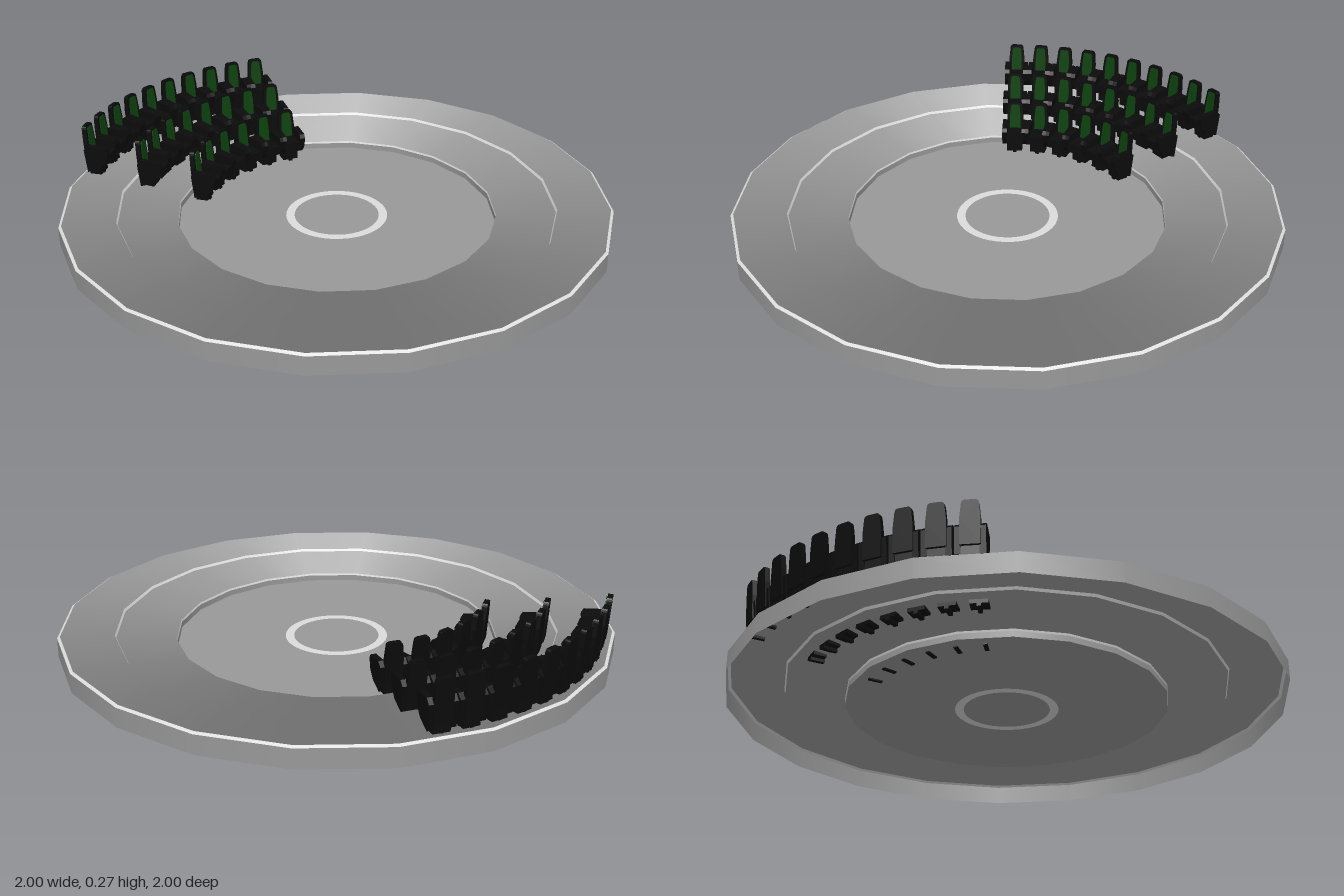
import * as THREE from 'three';

const SIDES = 20;

function makeMaterial(name, color, side = THREE.FrontSide) {
  const m = new THREE.MeshStandardMaterial({ color, side });
  m.name = name;
  return m;
}

const stone = makeMaterial('stone grey', 0x999999, THREE.DoubleSide);
const trim = makeMaterial('light trim', 0xdcdcdc, THREE.DoubleSide);
const black = makeMaterial('seat black', 0x0b0b0b);
const green = makeMaterial('seat green', 0x0d420f);

function add(parent, name, geometry, material, x = 0, y = 0, z = 0) {
  const mesh = new THREE.Mesh(geometry, material);
  mesh.name = name;
  mesh.position.set(x, y, z);
  parent.add(mesh);
  return mesh;
}

// One band of the dish between two [radius, height] points
function band(parent, name, from, to, material, soft = false) {
  const points = [from, to].map(([r, y]) => new THREE.Vector2(r, y));
  const geometry = new THREE.LatheGeometry(points, SIDES);
  if (soft) {
    // Terraces are shaded as if rounded into their risers
    const p = geometry.attributes.position;
    const n = geometry.attributes.normal;
    for (let i = 0; i < p.count; i++) {
      const r = Math.hypot(p.getX(i), p.getZ(i)) * Math.SQRT2;
      n.setXYZ(i, -p.getX(i) / r, Math.SQRT1_2, -p.getZ(i) / r);
    }
  }
  add(parent, name, geometry, material);
}

function createDish() {
  const dish = new THREE.Group();
  dish.name = 'dish';
  band(dish, 'outerWall', [1, 0], [1, 0.07], stone);
  band(dish, 'rimBevel', [1, 0.07], [0.99, 0.076], trim);
  band(dish, 'upperTerrace', [0.99, 0.076], [0.8, 0.066], stone, true);
  band(dish, 'middleRiser', [0.8, 0.066], [0.795, 0.057], trim);
  band(dish, 'lowerTerrace', [0.795, 0.057], [0.582, 0.034], stone, true);
  band(dish, 'innerTrim', [0.582, 0.034], [0.58, 0.027], trim);
  band(dish, 'innerRiser', [0.58, 0.027], [0.58, 0.006], stone);

  const floor = new THREE.CircleGeometry(0.58, SIDES).rotateX(-Math.PI / 2);
  add(dish, 'floor', floor, stone, 0, 0.006);

  // Circle marking, readable from above and below
  const marking = new THREE.RingGeometry(0.155, 0.186, 40).rotateX(-Math.PI / 2);
  for (const y of [0.008, 0.004]) add(dish, 'floorMarking', marking, trim, 0, y);
  return dish;
}

// Upright outline with a tapered, rounded top, extruded along x
function backShape(width, height, depth) {
  const w = width / 2;
  const s = new THREE.Shape();
  s.moveTo(-w, 0);
  s.lineTo(w, 0);
  s.lineTo(w, height * 0.6);
  s.lineTo(w * 0.85, height - 0.012);
  s.quadraticCurveTo(w * 0.8, height, w * 0.5, height);
  s.lineTo(-w * 0.5, height);
  s.quadraticCurveTo(-w * 0.8, height, -w * 0.85, height - 0.012);
  s.lineTo(-w, height * 0.6);
  s.closePath();
  return new THREE.ExtrudeGeometry(s, { depth, bevelEnabled: false, curveSegments: 3 })
    .rotateY(Math.PI / 2);
}

// Side profile of an armrest panel, extruded along z
function armShape(depth) {
  const s = new THREE.Shape();
  [[0.022, 0.025], [0.075, 0.045], [0.1, 0.075], [0.108, 0.112],
    [0.1, 0.127], [0.03, 0.132], [0.012, 0.115]]
    .forEach(([x, y], i) => (i ? s.lineTo(x, y) : s.moveTo(x, y)));
  s.closePath();
  return new THREE.ExtrudeGeometry(s, { depth, bevelEnabled: false })
    .translate(0, 0, -depth / 2);
}

const parts = {
  back: backShape(0.064, 0.148, 0.018),
  panel: backShape(0.042, 0.118, 0.004),
  arm: armShape(0.02),
  cushion: new THREE.BoxGeometry(0.082, 0.035, 0.066),
  pedestal: new THREE.BoxGeometry(0.045, 0.06, 0.06),
  foot: new THREE.BoxGeometry(0.05, 0.012, 0.014),
};

// One seat facing +x with its back at x = 0
function createSeat() {
  const seat = new THREE.Group();
  seat.name = 'seat';
  const backrest = new THREE.Group();
  backrest.name = 'backrest';
  backrest.position.set(0.012, 0.053, 0);
  backrest.rotation.z = 0.07;
  add(backrest, 'backShell', parts.back, black);
  add(backrest, 'backPanel', parts.panel, green, 0.0175, 0.022);
  seat.add(backrest);
  add(seat, 'cushion', parts.cushion, black, 0.062, 0.078);
  add(seat, 'pedestal', parts.pedestal, black, 0.045, 0.041);
  add(seat, 'foot', parts.foot, black, 0.045, 0.006);
  for (const side of [-1, 1]) add(seat, 'armrest', parts.arm, black, 0, 0, side * 0.038);
  return seat;
}

// A curved row of seats, centred on -x and facing the middle
function createRow(name, count, radius, height, stepDegrees) {
  const row = new THREE.Group();
  row.name = name;
  for (let i = 0; i < count; i++) {
    const pivot = new THREE.Group();
    pivot.name = 'seatPlace';
    pivot.rotation.y = THREE.MathUtils.degToRad((i - (count - 1) / 2) * stepDegrees);
    const seat = createSeat();
    seat.position.set(-radius, height, 0);
    pivot.add(seat);
    row.add(pivot);
  }
  return row;
}

export function createModel() {
  const model = new THREE.Group();
  model.name = 'seatingDish';
  model.add(createDish());
  model.add(createRow('outerRow', 10, 0.98, 0.064, 6.1));
  model.add(createRow('middleRow', 8, 0.77, 0.028, 7.8));
  model.add(createRow('innerRow', 6, 0.56, 0.001, 10.6));
  return model;
}
